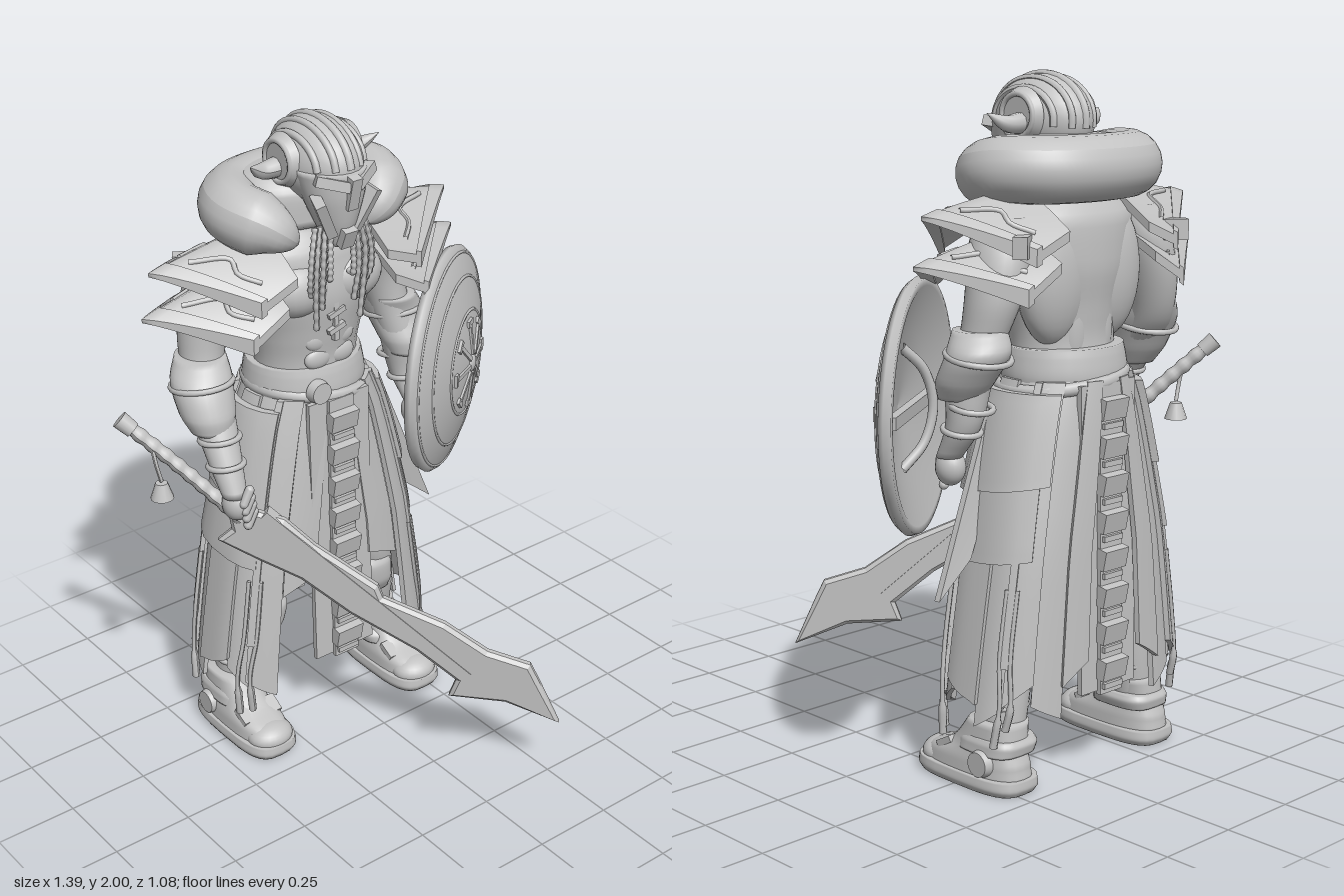
import * as THREE from 'three';

const stone = new THREE.MeshStandardMaterial({ color: 0xc2c2c2, side: THREE.DoubleSide });
stone.name = 'stone grey';
const { lerp } = THREE.MathUtils, V = (a) => new THREE.Vector3(...a);
const bend = (c, power) => Math.sign(c) * Math.abs(c) ** power;

function add(parent, name, geo) {
  const m = new THREE.Mesh(geo, stone);
  m.name = name;
  parent.add(m);
  return m;
}
// adds a part on the left and its mirror on the right
function pair(parent, name, geo) {
  const g = geo.clone().scale(-1, 1, 1), ix = g.index.array;
  for (let i = 0; i < ix.length; i += 3) [ix[i], ix[i + 1]] = [ix[i + 1], ix[i]];
  add(parent, name + 'Left', geo);
  add(parent, name + 'Right', g);
}
// moves every vertex of a geometry by a rule
function warp(geo, rule) {
  const p = geo.attributes.position, v = new THREE.Vector3();
  for (let i = 0; i < p.count; i++) p.setXYZ(i, ...rule(v.fromBufferAttribute(p, i)));
  geo.computeVertexNormals();
  return geo;
}
// smooth body through level rings [x, y, z, rx, rz], given from bottom to top; power < 1 squares them
function loft(rows, power = 1, seg = 28, steps = 5) {
  const mid = new THREE.CatmullRomCurve3(rows.map((r) => V(r.slice(0, 3))));
  const rad = new THREE.CatmullRomCurve3(rows.map((r) => V([r[3], r[4], 0])));
  const n = (rows.length - 1) * steps, pos = [], idx = [];
  for (let i = -1; i <= n + 1; i++) {
    const t = Math.min(Math.max(i / n, 0), 1), c = mid.getPoint(t), r = rad.getPoint(t);
    const k = i < 0 || i > n ? 0.001 : 1;
    for (let j = 0; j < seg; j++) {
      const a = (j / seg) * Math.PI * 2;
      pos.push(c.x + bend(Math.cos(a), power) * r.x * k, c.y, c.z + bend(Math.sin(a), power) * r.y * k);
    }
  }
  for (let i = 0; i < n + 2; i++) for (let j = 0; j < seg; j++) {
    const a = i * seg + j, d = i * seg + (j + 1) % seg;
    idx.push(a, a + seg, d, a + seg, d + seg, d);
  }
  const g = new THREE.BufferGeometry();
  g.setAttribute('position', new THREE.Float32BufferAttribute(pos, 3));
  g.setIndex(idx);
  g.computeVertexNormals();
  return g;
}
// tube with a radius that changes along its path
function tube(points, radius, seg = 24, sides = 10) {
  const curve = new THREE.CatmullRomCurve3(points.map(V));
  const g = new THREE.TubeGeometry(curve, seg, 1, sides);
  const r = typeof radius === 'number' ? () => radius : radius;
  let i = 0;
  return warp(g, (v) => {
    const t = Math.floor(i++ / (sides + 1)) / seg, c = curve.getPointAt(t);
    return v.sub(c).multiplyScalar(Math.max(r(t), 0.0005)).add(c).toArray();
  });
}
const ball = (x, y, z, rx, ry, rz) => new THREE.SphereGeometry(1, 24, 16).scale(rx, ry, rz).translate(x, y, z);
const box = (x, y, z, w, h, d, ax = 0, ay = 0, az = 0) =>
  new THREE.BoxGeometry(w, h, d).rotateX(ax).rotateY(ay).rotateZ(az).translate(x, y, z);
const disc = (x, y, z, r, h) => new THREE.CylinderGeometry(r * 0.85, r, h, 28).rotateZ(-Math.PI / 2).translate(x, y, z);

function head(g) {
  add(g, 'helmet', ball(0, 1.865, -0.225, 0.115, 0.128, 0.165));
  add(g, 'faceMask', loft([[0, 1.64, -0.13, 0.03, 0.03], [0, 1.71, -0.14, 0.062, 0.065], [0, 1.79, -0.15, 0.092, 0.09], [0, 1.87, -0.17, 0.11, 0.115]]));
  // ribs running over the dome
  for (const x of [-0.08, -0.042, 0, 0.042, 0.08]) {
    const k = Math.sqrt(1 - (x / 0.115) ** 2), pts = [];
    for (let i = 0; i <= 10; i++) {
      const a = lerp(0.1, 3.3, i / 10);
      pts.push([x, 1.865 + 0.124 * k * Math.sin(a), -0.225 + 0.16 * k * Math.cos(a)]);
    }
    add(g, 'helmetRib', tube(pts, x ? 0.011 : 0.013));
  }
  add(g, 'noseGuard', box(0, 1.815, -0.06, 0.035, 0.1, 0.035, 0.25));
  add(g, 'chinGuard', box(0, 1.675, -0.09, 0.045, 0.06, 0.04, 0.4));
  pair(g, 'brow', box(0.05, 1.845, -0.085, 0.1, 0.03, 0.05, 0, 0.45, 0.3));
  pair(g, 'cheekGuard', box(0.065, 1.745, -0.105, 0.03, 0.13, 0.06, 0.2, 0.4, -0.4));
  pair(g, 'earDisc', disc(0.11, 1.88, -0.24, 0.08, 0.025));
  pair(g, 'earRing', new THREE.TorusGeometry(0.06, 0.009, 8, 28).rotateY(Math.PI / 2).translate(0.121, 1.88, -0.24));
  pair(g, 'horn', tube([[0.11, 1.86, -0.25], [0.17, 1.86, -0.25], [0.225, 1.89, -0.225]], (t) => 0.03 * (1 - t * t)));
  // braids hanging over the chest
  for (const [x, y] of [[0.04, 1.55], [0.062, 1.45], [0.085, 1.39], [0.105, 1.5]])
    pair(g, 'braid', tube([[x * 0.8, 1.71, -0.12], [x, 1.62, -0.11], [x * 1.02, 1.54, -0.115], [x * 0.92, y, -0.13]], (t) => 0.009 + 0.0015 * Math.sin(t * 60), 40, 6));
}

function torso(g) {
  add(g, 'trunk', loft([[0, 1.1, -0.31, 0.17, 0.15], [0, 1.25, -0.3, 0.165, 0.135], [0, 1.36, -0.295, 0.185, 0.145], [0, 1.49, -0.295, 0.235, 0.158],
    [0, 1.6, -0.3, 0.24, 0.145], [0, 1.68, -0.29, 0.14, 0.1], [0, 1.76, -0.25, 0.08, 0.08]]));
  pair(g, 'chestMuscle', ball(0.092, 1.5, -0.2, 0.108, 0.085, 0.075));
  pair(g, 'sideBackMuscle', ball(0.105, 1.45, -0.365, 0.125, 0.2, 0.078));
  pair(g, 'lowerBackMuscle', ball(0.05, 1.3, -0.385, 0.05, 0.17, 0.045));
  for (const y of [1.27, 1.33, 1.39]) pair(g, 'abdomen', ball(0.042, y, -0.178, 0.046, 0.035, 0.02));
  // fur collar open at the throat
  const arc = [[0.12, 1.66, -0.15], [0.185, 1.71, -0.185], [0.235, 1.74, -0.29], [0.165, 1.742, -0.4], [0, 1.742, -0.44]];
  const path = [...arc, ...arc.slice(0, 4).reverse().map(([x, y, z]) => [-x, y, z])];
  add(g, 'furCollar', tube(path, (t) => 0.093 * Math.min(1, Math.sin(Math.PI * t) * 2.6) ** 0.6, 72, 20));
  add(g, 'collarFilling', loft([[0, 1.68, -0.31, 0.2, 0.13], [0, 1.78, -0.32, 0.2, 0.14], [0, 1.825, -0.33, 0.17, 0.11], [0, 1.832, -0.33, 0.08, 0.05]]));
  // pendant
  add(g, 'pendantBar', box(0, 1.39, -0.145, 0.016, 0.12, 0.016));
  for (const y of [1.42, 1.37]) add(g, 'pendantCross', box(0, y, -0.14, 0.06, 0.016, 0.016, 0, 0, 0.3));
}

function arms(g) {
  for (const s of [1, -1]) {
    const fz = s > 0 ? -0.27 : -0.14, ez = s > 0 ? -0.31 : -0.25, name = s > 0 ? 'Left' : 'Right';
    const limb = (rows) => loft(rows.map(([x, ...r]) => [s * x, ...r]));
    add(g, 'arm' + name, limb([[0.39, 0.96, fz + 0.02, 0.037, 0.037], [0.385, 1.05, fz - 0.03, 0.05, 0.05], [0.37, 1.18, ez, 0.064, 0.064], [0.345, 1.28, -0.33, 0.063, 0.066],
      [0.32, 1.4, -0.35, 0.075, 0.083], [0.285, 1.52, -0.34, 0.085, 0.095], [0.25, 1.62, -0.32, 0.07, 0.08]]));
    add(g, 'bracer' + name, limb([[0.385, 1.13, ez + 0.02, 0.064, 0.062], [0.385, 1.18, ez, 0.083, 0.082], [0.375, 1.26, ez - 0.04, 0.092, 0.088], [0.35, 1.32, -0.33, 0.074, 0.078]]));
    for (const [y, x, z, r] of [[1.04, 0.385, fz - 0.025, 0.052], [1.11, 0.38, fz - 0.06, 0.058], [1.25, 0.375, ez - 0.04, 0.09]])
      add(g, 'armBand' + name, new THREE.TorusGeometry(r, 0.009, 8, 24).rotateX(1.4).translate(s * x, y, z));
    add(g, 'hand' + name, ball(s * 0.385, 0.93, fz + 0.02, 0.042, 0.052, 0.045));
    for (let i = 0; i < 4; i++)
      add(g, 'finger' + name, new THREE.CapsuleGeometry(0.014, 0.045, 4, 8).rotateZ(s * 0.5).translate(s * (0.375 - i * 0.004), 0.965 - i * 0.025, fz + 0.06));
  }
  // spiked shoulder plates in two layers, each with a raised border and an arched ornament
  for (const [xIn, yIn, xTip, yTip, edge, drop] of [[0.16, 1.68, 0.525, 1.63, 0.285, 0.11], [0.19, 1.57, 0.555, 1.5, 0.315, 0.085]]) {
    const P = (a, t, w) => {
      const b = Math.abs(a), xo = lerp(edge, xTip, 1 - b);
      return [lerp(xIn, xo, t), lerp(yIn, yTip, t) - drop * b ** 1.2 + w * (1 - 0.75 * t ** 3 * (1 - b)), -0.292 + 0.19 * a];
    };
    const plate = (t0, t1, th) => warp(new THREE.BoxGeometry(1, 1, 1, 8, 1, 16), (v) => P(v.z * 2, lerp(t0, t1, v.x + 0.5), v.y * th));
    pair(g, 'shoulderPlate', plate(0, 1, 0.028));
    pair(g, 'shoulderPlateBorder', plate(0.85, 1.01, 0.05));
    for (const s of [-1, 1]) {
      const pts = [[0.12, 0.75], [0.35, 0.5], [0.55, 0.62], [0.8, 0.55]].map(([b, t]) => P(s * b, t, 0.014));
      pair(g, 'shoulderOrnament', tube(pts, 0.008, 16, 6));
    }
  }
  pair(g, 'shoulderBuckle', box(0.31, 1.55, -0.45, 0.07, 0.06, 0.04, 0, 0.6, 0));
}

function skirt(g) {
  // flaring, slightly squared skirt surface: angle from the front, height, distance outwards
  const S = (a, y, o) => {
    const v = Math.max((1.17 - y) / 0.95, 0), power = lerp(1, 0.72, Math.min(v * 2, 1));
    return [bend(Math.sin(a), power) * (0.17 + 0.21 * v ** 0.65 + o), y, -0.31 + bend(Math.cos(a), power) * (0.165 + 0.03 * v ** 0.5 + o)];
  };
  const strip = (deg, wide, top, low, off, th = 0.014, skew = 0) => warp(new THREE.BoxGeometry(1, 1, 1, 6, 10, 1), (p) =>
    S((deg + p.x * wide) * Math.PI / 180, lerp(low + skew * p.x, top, p.y + 0.5), off + p.z * th));
  add(g, 'underSkirt', warp(new THREE.CylinderGeometry(1, 1, 1, 48, 8, true), (p) => S(Math.atan2(p.x, p.z), lerp(0.64, 1.17, p.y + 0.5), -0.02)));
  // hanging strips: centre angle, width, bottom
  const strips = [[22, 22, 0.55], [45, 23, 0.22], [65, 21, 0.25], [85, 22, 0.29], [106, 22, 0.23], [127, 21, 0.3], [147, 20, 0.24], [163, 14, 0.34]];
  strips.forEach(([a, w, y], i) => pair(g, 'skirtStrip', strip(a, w, 1.16, y, (i % 2) * 0.014, 0.014, i % 3 ? 0.06 : -0.05)));
  for (const a of [54, 116]) pair(g, 'skirtStrap', strip(a, 6, 1.16, 0.38, 0.022, 0.014));
  // hip plates
  pair(g, 'lowerHipPlate', strip(92, 74, 0.93, 0.66, 0.022, 0.02, 0.04));
  pair(g, 'upperHipPlate', strip(94, 84, 1.13, 0.86, 0.03, 0.022, 0.05));
  // front and back panels with their segmented straps
  for (const [f, z0, z1] of [[1, -0.14, -0.125], [-1, -0.475, -0.49]]) {
    const n = f > 0 ? 'front' : 'back';
    const zAt = (y) => lerp(z1, z0, (y - 0.25) / 0.9);
    for (const [w, low, o] of [[0.22, 0.26, 0], [0.09, 0.25, 0.012]])
      add(g, n + 'Panel', warp(new THREE.BoxGeometry(1, 1, 1, 2, 8, 1), (p) => {
        const y = lerp(low, 1.15, p.y + 0.5);
        return [p.x * w, y, zAt(y) + f * o + p.z * 0.016];
      }));
    for (let i = 0; i < 8; i++) {
      const y = 1.08 - i * 0.108;
      add(g, n + 'StrapBlock', box(0, y, zAt(y) + f * 0.022, 0.095, 0.06, 0.035, f * 0.2));
      add(g, n + 'StrapBar', box(0, y - 0.05, zAt(y) + f * 0.018, 0.075, 0.016, 0.026));
    }
  }
  add(g, 'belt', loft([[0, 1.14, -0.31, 0.19, 0.17], [0, 1.17, -0.31, 0.193, 0.172], [0, 1.22, -0.31, 0.186, 0.166], [0, 1.245, -0.31, 0.18, 0.16]]));
  add(g, 'beltSash', new THREE.TorusGeometry(0.18, 0.02, 8, 40).scale(1.04, 0.94, 1).rotateX(Math.PI / 2).rotateZ(-0.12).translate(0.01, 1.15, -0.31));
  add(g, 'buckle', new THREE.CylinderGeometry(0.033, 0.038, 0.03, 24).rotateX(Math.PI / 2).translate(-0.065, 1.18, -0.14));
  // pointed sash on the left hip
  add(g, 'hipSash', warp(new THREE.BoxGeometry(1, 1, 1, 2, 8, 1), (p) => {
    const t = 0.5 - p.y;
    return [lerp(0.18, 0.415, t) + p.x * lerp(0.1, 0.12, t), lerp(1.12, 0.62, t) - p.x * 0.1 * t, -0.25 + p.z * 0.02 - t * 0.04];
  }));
  // cord tassels
  for (const [a, y] of [[50, 0.14], [60, 0.13], [112, 0.15], [120, 0.2]])
    pair(g, 'tassel', tube([S(a / 57.3, 0.6, 0.025), S(a / 57.3, 0.4, 0.025), S((a + 3) / 57.3, 0.27, 0.02), S(a / 57.3, y, 0.005)], (t) => 0.007 + (t > 0.8 ? 0.005 : 0), 24, 6));
}

function legs(g) {
  pair(g, 'leg', loft([[0.285, 0.08, -0.34, 0.06, 0.065], [0.27, 0.17, -0.34, 0.062, 0.07], [0.245, 0.36, -0.32, 0.08, 0.09], [0.205, 0.5, -0.29, 0.085, 0.092], [0.14, 0.8, -0.3, 0.1, 0.11], [0.1, 1.05, -0.31, 0.09, 0.1]]));
  pair(g, 'kneePad', loft([[0.23, 0.33, -0.26, 0.045, 0.035], [0.215, 0.38, -0.25, 0.062, 0.05], [0.205, 0.44, -0.245, 0.064, 0.05], [0.2, 0.47, -0.25, 0.05, 0.04]], 0.8));
  for (const y of [0.24, 0.3]) pair(g, 'shinBand', new THREE.TorusGeometry(0.073, 0.008, 8, 24).rotateX(Math.PI / 2).translate(0.26, y, -0.33));
  // boots
  const x = 0.29;
  pair(g, 'sole', loft([[x, 0, -0.26, 0.085, 0.19], [x, 0.02, -0.26, 0.094, 0.2], [x, 0.045, -0.26, 0.09, 0.198]], 0.6));
  pair(g, 'boot', loft([[x, 0.04, -0.26, 0.083, 0.19], [x, 0.08, -0.27, 0.08, 0.175], [x, 0.12, -0.31, 0.072, 0.12], [0.283, 0.2, -0.34, 0.07, 0.085]], 0.75));
  pair(g, 'bootCuff', loft([[0.285, 0.11, -0.33, 0.084, 0.105], [0.28, 0.135, -0.335, 0.086, 0.105], [0.28, 0.155, -0.34, 0.078, 0.09]], 0.6));
  pair(g, 'ankleDisc', disc(0.37, 0.085, -0.35, 0.042, 0.025));
  pair(g, 'instepStrap', box(x, 0.105, -0.19, 0.14, 0.02, 0.06, 0.5));
  pair(g, 'toeCap', ball(x, 0.05, -0.13, 0.075, 0.045, 0.065));
}

function shield() {
  const g = new THREE.Group();
  g.name = 'shield';
  const dome = [[0, 0.055], [0.2, 0.025], [0.33, -0.02], [0.35, -0.02], [0.357, 0], [0.345, 0.016], [0.26, 0.046], [0.15, 0.075], [0.05, 0.088], [0, 0.09]];
  add(g, 'shieldDisc', new THREE.LatheGeometry(dome.map((p) => new THREE.Vector2(...p)), 64).rotateX(Math.PI / 2));
  for (const [r, z] of [[0.335, 0.018], [0.265, 0.043], [0.165, 0.07]]) add(g, 'shieldRing', new THREE.TorusGeometry(r, 0.005, 6, 64).translate(0, 0, z));
  add(g, 'shieldBoss', ball(0, 0, 0.085, 0.03, 0.03, 0.016));
  for (let i = 0; i < 8; i++) {
    const a = (i * Math.PI) / 4;
    add(g, 'shieldSpoke', new THREE.BoxGeometry(0.1, 0.014, 0.014).rotateY(0.11).translate(0.08, 0, 0.084).rotateZ(a));
    add(g, 'shieldSpokeEnd', new THREE.BoxGeometry(0.02, 0.04, 0.014).translate(0.135, 0, 0.078).rotateZ(a));
  }
  // grip on the inside
  add(g, 'shieldBar', box(0, 0, 0.005, 0.5, 0.035, 0.025));
  add(g, 'shieldHandle', tube([[0.05, -0.17, 0.03], [0, -0.1, -0.02], [-0.02, 0, -0.04], [0, 0.1, -0.02], [0.05, 0.17, 0.03]], 0.014));
  g.position.set(0.395, 1.105, -0.197);
  g.rotation.y = 0.582;
  return g;
}

function sword() {
  const g = new THREE.Group();
  g.name = 'sword';
  // outline as depth and height, stretched along the slanted plane of the blade
  const outline = [[-0.15, 0.93], [-0.03, 0.88], [0.03, 0.8], [0.16, 0.67], [0.17, 0.63], [0.3, 0.55], [0.39, 0.46], [0.48, 0.42], [0.5, 0.36], [0.545, 0.215],
    [0.43, 0.28], [0.31, 0.29], [0.325, 0.35], [0.24, 0.45], [0.1, 0.57], [0, 0.68], [-0.09, 0.74], [-0.17, 0.8], [-0.14, 0.84]];
  const shape = new THREE.Shape(outline.map(([z, y]) => new THREE.Vector2(z / 0.7, y)));
  add(g, 'blade', new THREE.ExtrudeGeometry(shape, { depth: 0.016, bevelThickness: 0.01, bevelSize: 0.012, bevelOffset: -0.012, bevelSegments: 1 }).translate(0, 0, -0.008));
  add(g, 'bladeSpine', box(0.2, 0.635, 0, 0.8, 0.025, 0.042, 0, 0, -0.72));
  add(g, 'grip', tube([[-0.5, 1.17, 0], [-0.35, 1.04, 0], [-0.17, 0.87, 0]], (t) => 0.021 + 0.002 * Math.sin(t * 60), 50));
  add(g, 'pommel', new THREE.CylinderGeometry(0.027, 0.024, 0.05, 16).rotateZ(0.85).translate(-0.495, 1.165, 0));
  // charm on a cord
  add(g, 'charmCord', tube([[-0.42, 1.1, 0.015], [-0.41, 1.05, 0.02], [-0.4, 0.99, 0.01]], 0.006));
  add(g, 'charm', new THREE.CylinderGeometry(0.018, 0.035, 0.05, 12).translate(-0.4, 0.96, 0.01));
  g.position.x = -0.312;
  g.rotation.y = -0.774;
  return g;
}

export function createModel() {
  const model = new THREE.Group(), body = new THREE.Group();
  model.name = 'armouredWarrior';
  body.name = 'body';
  body.position.x = -0.065;
  for (const part of [head, torso, arms, skirt, legs]) part(body);
  model.add(body, shield(), sword());
  return model;
}
